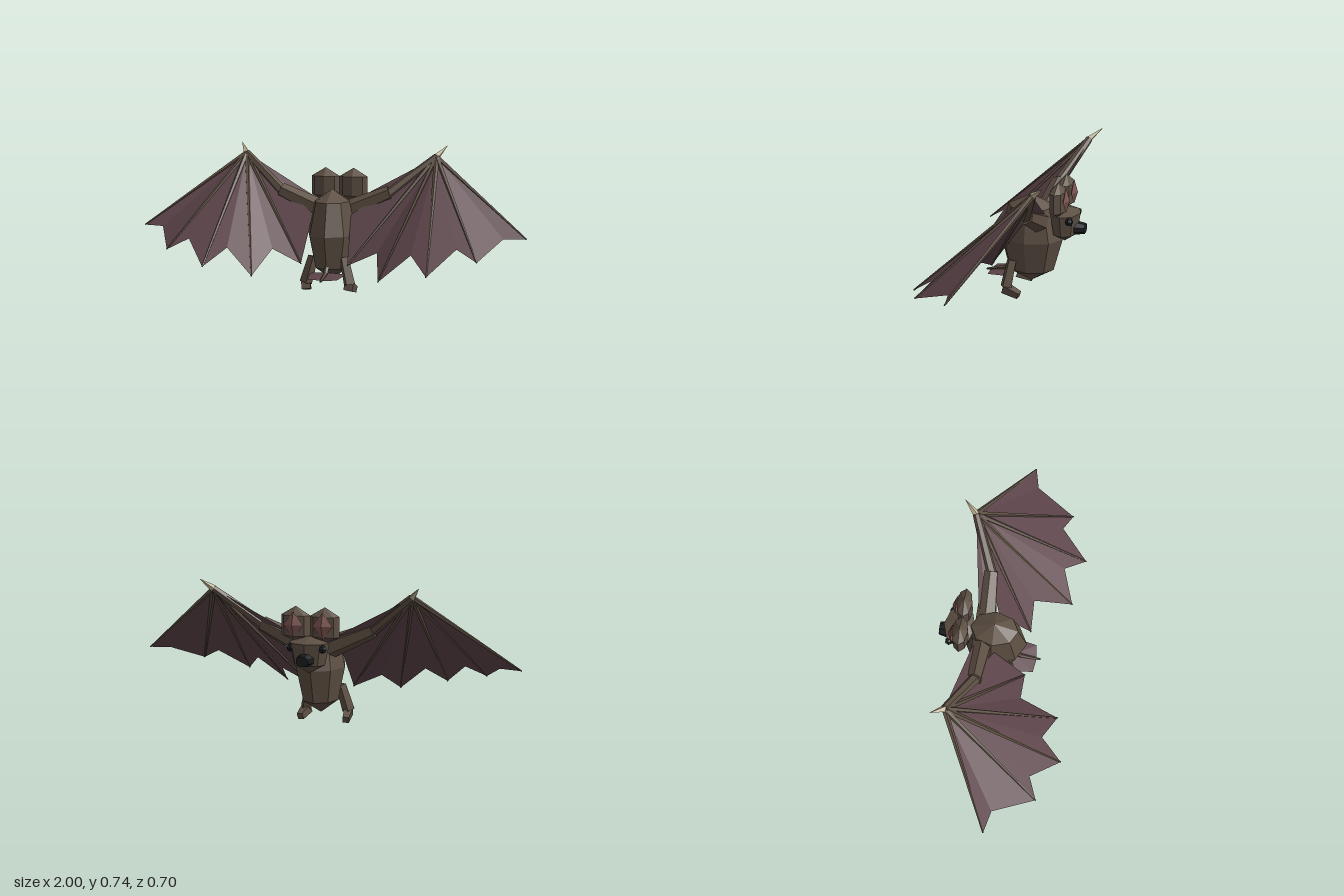
import * as THREE from 'three';

const mat = (name, color, extra = {}) =>
  Object.assign(new THREE.MeshStandardMaterial({ color, flatShading: true, ...extra }), { name });

export function createModel() {
  const model = new THREE.Group();
  model.name = 'bat';
  const fur = mat('brown fur', 0x5d4f43);
  const skin = mat('wing membrane', 0x5c444a, { side: THREE.DoubleSide });
  const pink = mat('inner ear pink', 0x7a5350);
  const black = mat('black', 0x1b1d1f);
  const bone = mat('claw', 0xc4b898);
  const white = mat('eye glint', 0xb8bcc0);
  const V = (x, y, z) => new THREE.Vector3(x, y, z);

  function add(name, geo, material, parent = model) {
    const m = new THREE.Mesh(geo, material);
    m.name = name;
    parent.add(m);
    return m;
  }
  // Tapered limb between two points
  function limb(name, a, b, r1, r2, sides, material, parent) {
    const d = b.clone().sub(a);
    const geo = new THREE.CylinderGeometry(r2, r1, d.length(), sides, 1, false, Math.PI / sides);
    const m = add(name, geo, material, parent);
    m.position.copy(a).add(b).multiplyScalar(0.5);
    m.quaternion.setFromUnitVectors(V(0, 1, 0), d.normalize());
    return m;
  }
  // Faceted solid of revolution, squashed to an oval: profile is [radius, y] from bottom to top
  function oval(name, profile, sx, sz, x, z, material, parent) {
    const geo = new THREE.LatheGeometry(profile.map(p => new THREE.Vector2(...p)), 8);
    geo.scale(sx, 1, sz);
    const m = add(name, geo, material, parent);
    m.position.set(x, 0, z);
    return m;
  }
  // Sheet made as triangles fanned out from the first point
  function fan(name, pts, parent) {
    const geo = new THREE.BufferGeometry().setFromPoints(pts);
    const idx = [];
    for (let i = 1; i < pts.length - 1; i++) idx.push(0, i, i + 1);
    geo.setIndex(idx);
    geo.computeVertexNormals();
    return add(name, geo, skin, parent);
  }

  // Body and head
  oval('body', [[0, 0.06], [0.12, 0.13], [0.166, 0.3], [0.12, 0.467], [0, 0.53]], 0.76, 1, 0, -0.07, fur);
  oval('head', [[0, 0.297], [0.062, 0.34], [0.08, 0.45], [0, 0.482]], 1.3, 1, 0, -0.247, fur);
  const nose = add('nose', new THREE.CylinderGeometry(0.026, 0.035, 0.05, 8, 1, false, Math.PI / 8), black);
  nose.geometry.rotateX(-Math.PI / 2).scale(1.3, 1, 1);
  nose.position.set(0, 0.372, -0.328);

  for (const s of [1, -1]) {
    const side = new THREE.Group();
    side.name = s > 0 ? 'leftSide' : 'rightSide';
    model.add(side);
    const P = (x, y, z) => V(s * x, y, z);

    // Ear and its lining
    oval('ear', [[0, 0.445], [0.075, 0.478], [0.075, 0.578], [0, 0.623]], 1, 0.53, s * 0.075, -0.23, fur, side);
    const lining = add('innerEar', new THREE.OctahedronGeometry(1), pink, side);
    lining.scale.set(0.052, 0.065, 0.02);
    lining.position.set(s * 0.075, 0.535, -0.271);

    // Eye
    const eye = add('eye', new THREE.SphereGeometry(0.021, 6, 4), black, side);
    eye.position.set(s * 0.082, 0.427, -0.29);
    const glint = add('eyeGlint', new THREE.SphereGeometry(0.005, 5, 4), white, side);
    glint.position.set(s * 0.098, 0.435, -0.3);

    // Wing arm
    const wing = new THREE.Group();
    wing.name = 'wing';
    side.add(wing);
    const wrist = P(0.51, 0.69, -0.233), elbow = P(0.29, 0.508, -0.13);
    limb('upperArm', P(0.06, 0.405, -0.125), elbow, 0.057, 0.04, 6, fur, wing);
    limb('forearm', P(0.27, 0.492, -0.122), wrist, 0.03, 0.019, 6, fur, wing);
    limb('thumbClaw', wrist, P(0.555, 0.742, -0.293), 0.018, 0.001, 4, bone, wing);

    // Fingers, with the membrane notched between their tips
    const tips = [P(0.995, 0.32, 0.015), P(0.783, 0.235, 0.245), P(0.558, 0.173, 0.345),
      P(0.318, 0.13, 0.3), P(0.12, 0.165, 0.103)];
    const notches = [P(0.885, 0.32, 0.04), P(0.68, 0.287, 0.2), P(0.465, 0.255, 0.235), P(0.27, 0.235, 0.1)];
    const edge = [wrist];
    tips.forEach((tip, i) => {
      limb('finger', wrist, tip, 0.014, 0.004, 5, fur, wing);
      edge.push(tip);
      if (notches[i]) edge.push(notches[i]);
    });
    fan('wingMembrane', [...edge, P(0.1, 0.4, -0.06), elbow], wing);
    fan('leadingMembrane', [wrist, elbow, P(0.09, 0.41, -0.12), P(0.1, 0.465, -0.165)], wing);

    // Leg and foot
    limb('leg', P(0.08, 0.19, 0.008), P(0.115, 0.055, 0.028), 0.026, 0.032, 4, fur, side);
    limb('foot', P(0.112, 0.048, 0.038), P(0.122, 0.02, -0.043), 0.033, 0.023, 4, fur, side);
  }

  // Tail with its membrane
  limb('tailBase', V(0, 0.155, 0.03), V(0, 0.112, 0.07), 0.014, 0.012, 5, fur);
  limb('tailTip', V(0, 0.114, 0.065), V(0, 0.092, 0.17), 0.012, 0.006, 5, fur);
  fan('tailMembrane', [V(0, 0.112, 0.03), V(0.095, 0.105, 0.02), V(0.075, 0.095, 0.14),
    V(0, 0.092, 0.15), V(-0.075, 0.095, 0.14), V(-0.095, 0.105, 0.02)]);

  return model;
}
